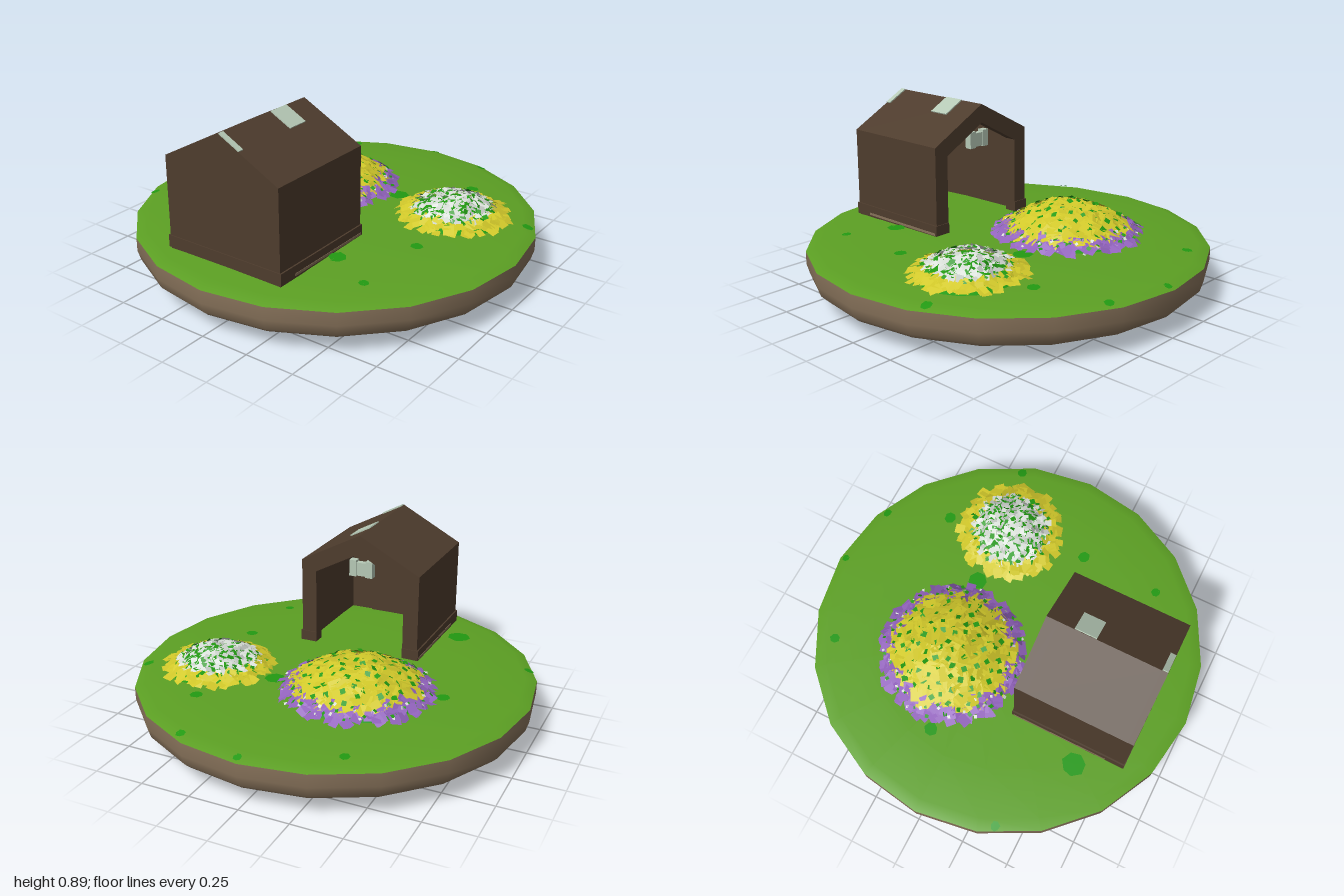
import * as THREE from 'three';
import { mergeGeometries } from 'three/addons/utils/BufferGeometryUtils.js';

const mat = (name, color, side = THREE.FrontSide) => {
  const m = new THREE.MeshStandardMaterial({ color, side });
  m.name = name;
  return m;
};

export function createModel() {
  const root = new THREE.Group();
  root.name = 'gardenIsland';
  const D = THREE.DoubleSide;
  const M = {
    soil: mat('soil brown', 0x87725a),
    under: mat('dark soil', 0x6f5e4a),
    grass: mat('grass green', 0x5ca023),
    patch: mat('bright leaf green', 0x229a12, D),
    wood: mat('dark wood', 0x4e3c2d),
    glass: mat('pale glass', 0xb6c9b6),
    yellow: mat('petal yellow', 0xd2c92a, D),
    purple: mat('petal purple', 0x9263bd, D),
    white: mat('petal white', 0xd6dcd6, D),
  };
  const add = (parent, name, geo, material, x = 0, y = 0, z = 0) => {
    const m = new THREE.Mesh(geo, material);
    m.name = name;
    m.position.set(x, y, z);
    parent.add(m);
    return m;
  };
  const lathe = (pts, seg = 20) =>
    new THREE.LatheGeometry(pts.map(p => new THREE.Vector2(...p)), seg);
  // Height along a [radius, y] profile listed from the rim inwards
  const heightAt = (profile, r) => {
    for (let i = 0; i < profile.length - 1; i++) {
      const [r0, y0] = profile[i], [r1, y1] = profile[i + 1];
      if (r <= r0 && r >= r1) return y0 + (y1 - y0) * (r0 - r) / (r0 - r1);
    }
    return profile[0][1];
  };
  let seed = 7;
  const rnd = () => {
    seed = (seed * 16807) % 2147483647;
    return seed / 2147483647;
  };
  const jit = a => (rnd() * 2 - 1) * a;

  // Island: underside, soil rim and domed lawn
  const lawn = [[1, 0.23], [0.94, 0.25], [0.7, 0.262], [0.35, 0.267], [0, 0.268]];
  add(root, 'islandUnderside', lathe([[0, 0], [0.3, 0.012], [0.67, 0.04], [0.96, 0.09]]), M.under);
  add(root, 'islandRim', lathe([[0.96, 0.09], [0.985, 0.115], [1, 0.165], [1, 0.23]]), M.soil);
  add(root, 'lawn', lathe(lawn), M.grass);

  // Darker tufts lying on the lawn
  [[-0.59, -0.45, 0.06], [0.12, -0.61, 0.035], [0.79, -0.41, 0.025], [-0.46, 0.34, 0.045],
    [-0.58, 0.565, 0.025], [-0.16, 0.575, 0.032], [0.58, 0.46, 0.033], [0.28, 0.2, 0.05],
    [0.36, 0.885, 0.028], [-0.38, -0.89, 0.025], [0.97, 0.01, 0.02], [0.9, 0.34, 0.025]]
    .forEach(([x, z, s], i) => {
      const r = Math.hypot(x, z);
      const g = new THREE.CircleGeometry(s, 7).rotateX(-Math.PI / 2).rotateY(i);
      const p = g.attributes.position;
      for (let k = 0; k < p.count; k++) {
        const px = p.getX(k) * (0.8 + 0.3 * rnd()), pz = p.getZ(k);
        const pr = Math.hypot(x + px, z + pz);
        p.setXYZ(k, px, heightAt(lawn, pr) - heightAt(lawn, r), pz);
      }
      g.computeVertexNormals();
      add(root, 'grassTuft', g, M.patch, x, heightAt(lawn, r) + 0.004, z);
    });

  // Shed, open towards +x
  const shed = new THREE.Group();
  shed.name = 'shed';
  root.add(shed);
  const Y0 = 0.25, MID = -0.03;
  // Gabled arch: outer outline with an inner doorway, extruded along x
  const arch = (x0, x1, outer, inner) => {
    const s = new THREE.Shape();
    const [w, e, r] = outer;
    s.moveTo(-w, Y0);
    if (inner) {
      const [iw, ie, ir] = inner;
      [[-iw, Y0], [-iw, ie], [0, ir], [iw, ie], [iw, Y0]].forEach(p => s.lineTo(...p));
    }
    [[w, Y0], [w, e], [0, r], [-w, e]].forEach(p => s.lineTo(...p));
    s.closePath();
    return new THREE.ExtrudeGeometry(s, { depth: x1 - x0, bevelEnabled: false })
      .rotateY(Math.PI / 2).translate(x0, 0, MID);
  };
  const OUT = [0.322, 0.715, 0.885];
  add(shed, 'wallsAndRoof', arch(-0.78, -0.27, OUT, [0.285, 0.69, 0.84]), M.wood);
  add(shed, 'backWall', arch(-0.81, -0.78, OUT), M.wood);
  add(shed, 'doorFrame', arch(-0.27, -0.21, OUT, [0.242, 0.66, 0.79]), M.wood);
  add(shed, 'backPanel', new THREE.BoxGeometry(0.015, 0.335, 0.325), M.wood, -0.775, 0.4175, MID);
  for (const s of [-1, 1]) {
    add(shed, 'sidePlinth', new THREE.BoxGeometry(0.605, 0.06, 0.012), M.wood, -0.5075, 0.29, MID + s * 0.324);
    add(shed, 'plinthFoot', new THREE.BoxGeometry(0.012, 0.06, 0.088), M.wood, -0.211, 0.29, MID + s * 0.286);
    add(shed, 'groundStrip', new THREE.BoxGeometry(0.5, 0.012, 0.008), M.soil, -0.465, 0.276, MID + s * 0.328);
  }
  add(shed, 'backPlinth', new THREE.BoxGeometry(0.01, 0.06, 0.66), M.wood, -0.81, 0.29, MID);
  // Skylights on the front slope
  [[-0.405, 0.11], [-0.795, 0.028]].forEach(([x, w]) => {
    const g = new THREE.BoxGeometry(w, 0.008, 0.124).rotateX(Math.atan2(0.17, 0.322));
    add(shed, 'skylight', g, M.glass, x, 0.857, 0.0275);
  });
  // Lamp hanging in the doorway
  add(shed, 'lampCore', new THREE.BoxGeometry(0.03, 0.07, 0.05), M.glass, -0.245, 0.7, MID);
  for (const s of [-1, 1])
    add(shed, 'lampEnd', new THREE.BoxGeometry(0.036, 0.085, 0.038), M.glass, -0.245, 0.703, MID + s * 0.044);

  // Flower beds: a leafy mound covered by spirals of tilted petal cards
  const bed = (name, cx, cz, profile, layers) => {
    const g = new THREE.Group();
    g.name = name;
    g.position.set(cx, 0, cz);
    root.add(g);
    add(g, 'leafMound', lathe(profile.map(([r, y]) => [r * 0.93, y - 0.02])), M.patch);
    for (const [part, material, count, r0, r1, size, tilt, lift] of layers) {
      const cards = [];
      for (let i = 0; i < count; i++) {
        const r = Math.sqrt(r0 * r0 + (r1 * r1 - r0 * r0) * (i + 0.5) / count) + jit(0.008);
        const a = i * 2.39996 + jit(0.08);
        const rr = Math.abs(r);
        const slope = (heightAt(profile, Math.max(0, rr - 0.03)) - heightAt(profile, rr + 0.03)) / 0.06;
        const s = size * (0.8 + 0.4 * rnd());
        cards.push(new THREE.PlaneGeometry(s, s * 0.9).rotateX(-Math.PI / 2).rotateY(jit(0.8))
          .rotateX(jit(tilt)).rotateZ(jit(tilt) - Math.atan(slope))
          .translate(rr, heightAt(profile, rr) + lift + jit(0.004), 0).rotateY(a));
      }
      add(g, part, mergeGeometries(cards), material);
    }
  };
  bed('largeFlowerBed', 0.21, -0.21,
    [[0.385, 0.268], [0.3, 0.315], [0.2, 0.373], [0.1, 0.41], [0, 0.422]], [
      ['yellowBlooms', M.yellow, 270, 0, 0.31, 0.066, 0.22, 0],
      ['purpleBlooms', M.purple, 170, 0.285, 0.37, 0.05, 0.3, 0],
      ['purpleLeaves', M.patch, 45, 0.29, 0.36, 0.018, 0.4, 0.008],
      ['paleSpecks', M.white, 40, 0.29, 0.37, 0.016, 0.4, 0.008],
      ['leaves', M.patch, 85, 0, 0.29, 0.026, 0.4, 0.007],
    ]);
  bed('smallFlowerBed', 0.25, 0.53,
    [[0.29, 0.268], [0.2, 0.305], [0.1, 0.352], [0, 0.373]], [
      ['yellowBlooms', M.yellow, 120, 0.195, 0.27, 0.05, 0.25, 0],
      ['whiteBlooms', M.white, 190, 0, 0.205, 0.032, 0.5, 0.003],
      ['leaves', M.patch, 90, 0, 0.215, 0.026, 0.5, 0.004],
    ]);
  return root;
}
